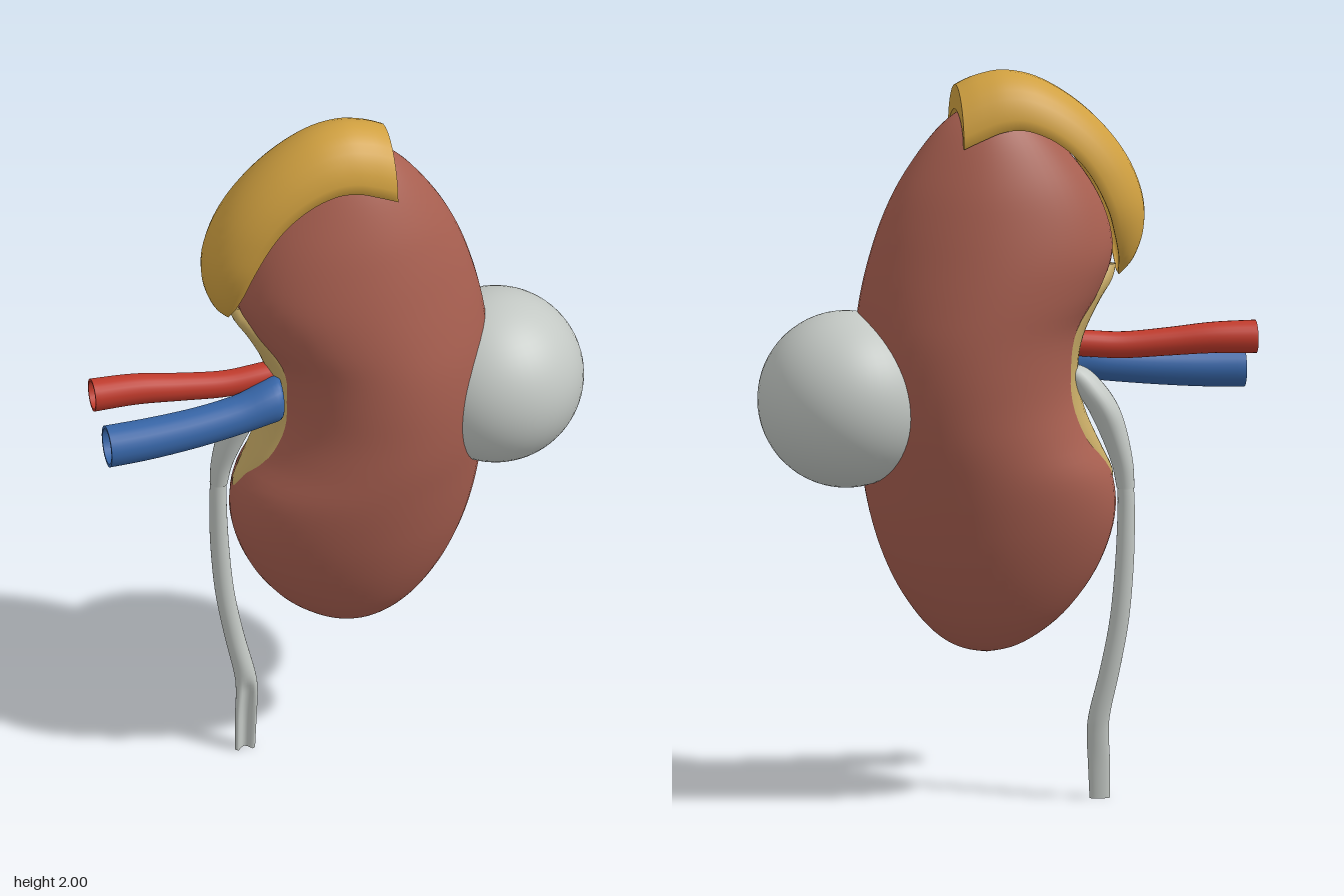
import * as THREE from 'three';

const mat = (name, color, side = THREE.FrontSide) => {
  const m = new THREE.MeshStandardMaterial({ color, side });
  m.name = name;
  return m;
};

// Joins closed rings of points into one smooth skin.
function loft(rings) {
  const n = rings[0].length, pos = [], index = [];
  for (const ring of rings) for (const p of ring) pos.push(...p);
  for (let i = 0; i < rings.length - 1; i++) {
    for (let j = 0; j < n; j++) {
      const k = (j + 1) % n, a = i * n, b = a + n;
      index.push(a + j, a + k, b + k, a + j, b + k, b + j);
    }
  }
  const g = new THREE.BufferGeometry();
  g.setAttribute('position', new THREE.Float32BufferAttribute(pos, 3));
  g.setIndex(index);
  g.computeVertexNormals();
  return g;
}

// Smoothly resamples a table of stations, column by column.
function resample(rows, steps) {
  const cols = rows[0].map((_, c) =>
    new THREE.SplineCurve(rows.map((r) => new THREE.Vector2(r[c], 0))));
  return Array.from({ length: steps + 1 }, (_, i) => cols.map((c) => c.getPoint(i / steps).x));
}

const loop = (n, fn) => Array.from({ length: n }, (_, j) => {
  const a = (j / n) * Math.PI * 2;
  return fn(Math.cos(a), Math.sin(a));
});

export function createModel() {
  const group = new THREE.Group();
  const flesh = mat('kidney red brown', 0xa85f50);
  const gold = mat('gland gold', 0xd0a040, THREE.DoubleSide);
  const fat = mat('sinus tan', 0xc8ab66, THREE.DoubleSide);
  const red = mat('artery red', 0xc03a2b, THREE.DoubleSide);
  const blue = mat('vein blue', 0x3766a8, THREE.DoubleSide);
  const grey = mat('pale grey', 0xc3c8c4, THREE.DoubleSide);
  const add = (name, geometry, material) => {
    const mesh = new THREE.Mesh(geometry, material);
    mesh.name = name;
    group.add(mesh);
    return mesh;
  };

  // Kidney body: height, inner edge x, outer edge x, half depth
  const body = [
    [0.405, 0.05, 0.05, 0], [0.418, -0.02, 0.115, 0.033], [0.45, -0.085, 0.175, 0.065],
    [0.51, -0.16, 0.235, 0.108], [0.6, -0.23, 0.295, 0.153], [0.7, -0.277, 0.34, 0.19],
    [0.8, -0.297, 0.37, 0.217], [0.9, -0.282, 0.389, 0.237], [1.0, -0.222, 0.402, 0.249],
    [1.1, -0.185, 0.411, 0.254], [1.2, -0.178, 0.414, 0.256], [1.3, -0.195, 0.41, 0.252],
    [1.4, -0.25, 0.397, 0.242], [1.5, -0.285, 0.374, 0.226], [1.6, -0.27, 0.342, 0.203],
    [1.7, -0.222, 0.296, 0.173], [1.8, -0.145, 0.23, 0.13], [1.87, -0.075, 0.167, 0.088],
    [1.915, -0.01, 0.095, 0.045], [1.93, 0.035, 0.035, 0],
  ];
  add('kidney', loft(resample(body, 76).map(([y, l, r, h]) => {
    const cx = l + (r - l) * 0.5, cz = (1.2 - y) * 0.025;
    return loop(48, (c, s) => [
      cx + c * (r - l) / 2, y, cz - Math.max(h, 0) * s * (c > 0 ? 1 - 0.12 * c * c : 1)]);
  })), flesh);

  // Fatty lining of the notch: height, edge x, half depth
  const lining = [
    [0.86, -0.285, 0.02], [0.9, -0.288, 0.05], [0.98, -0.25, 0.085], [1.08, -0.208, 0.1],
    [1.18, -0.193, 0.1], [1.27, -0.207, 0.1], [1.36, -0.25, 0.08], [1.42, -0.288, 0.05],
    [1.46, -0.298, 0.02],
  ];
  add('hilumLining', loft(resample(lining, 32).map(([y, x, h]) =>
    loop(24, (c, s) => [x + 0.07 * (1 + c), y, -h * s]))), fat);

  // Gland cap: crest x, y, lower rim x, y, half width
  const cap = [
    [-0.305, 1.43, -0.3, 1.44, 0.015], [-0.343, 1.475, -0.295, 1.49, 0.06],
    [-0.37, 1.55, -0.278, 1.56, 0.095], [-0.37, 1.64, -0.257, 1.63, 0.115],
    [-0.335, 1.74, -0.215, 1.715, 0.123], [-0.27, 1.835, -0.165, 1.78, 0.125],
    [-0.18, 1.92, -0.1, 1.83, 0.125], [-0.08, 1.98, -0.03, 1.857, 0.125],
    [0.01, 2.0, 0.03, 1.855, 0.125], [0.085, 1.988, 0.085, 1.835, 0.125],
    [0.138, 1.965, 0.138, 1.812, 0.125],
  ];
  const half = 16;
  const capRings = resample(cap, 50).map(([ox, oy, ex, ey, w]) => {
    const arch = (t, start) => {
      const k = start + (1 - start) * (1 - Math.cos(t));
      return [ox + (ex - ox) * k, oy + (ey - oy) * k,
        -0.003 + w * (1 - start * 0.25) * Math.sin(t)];
    };
    const angles = Array.from({ length: half }, (_, j) => (j / (half - 1) - 0.5) * Math.PI);
    return [...angles.map((t) => arch(t, 0)), ...angles.reverse().map((t) => arch(t, 0.45))];
  });
  // Close both ends between the outer and inner arches
  const closing = (ring) => ring.map((p, j) =>
    p.map((v, c) => (v + ring[ring.length - 1 - j][c]) / 2));
  const first = capRings[0], last = capRings[capRings.length - 1];
  add('adrenalGland', loft([closing(first), first, ...capRings, last, closing(last)]), gold);

  // Hollow vessels running sideways: x, y, z, radius
  const vessel = (rows) => {
    const outer = resample(rows, 24);
    const ring = ([x, y, z, r]) => loop(24, (c, s) => [x, y + r * c, z + r * s]);
    const [x, y, z, r] = outer[0];
    const lip = ring([x, y, z, r * 0.85]);
    const bore = ring([x + 0.15, y, z, r * 0.8]);
    return loft([bore, lip, lip, ring(outer[0]), ...outer.map(ring)]);
  };
  add('artery', vessel([
    [-0.68, 1.243, 0.008, 0.045], [-0.56, 1.244, 0.01, 0.042], [-0.44, 1.236, 0.018, 0.038],
    [-0.32, 1.23, 0.025, 0.036], [-0.22, 1.238, 0.025, 0.036], [-0.1, 1.25, 0.02, 0.034],
  ]), red);
  add('vein', vessel([
    [-0.665, 1.143, 0.112, 0.057], [-0.55, 1.147, 0.11, 0.056], [-0.42, 1.157, 0.105, 0.054],
    [-0.3, 1.172, 0.095, 0.054], [-0.225, 1.19, 0.085, 0.06], [-0.185, 1.197, 0.075, 0.062],
    [-0.175, 1.2, 0.07, 0.045], [-0.17, 1.2, 0.07, 0.0],
  ]), blue);

  // Upright ducts: height, x, z, half width, half depth, front groove depth
  const duct = (rows) => loft(resample(rows, 40).map(([y, x, z, w, d, g]) =>
    loop(24, (c, s) => [x + w * c, y,
      z - d * s + (s < 0 ? g * d * s * Math.max(0, 1 - 2.2 * c * c) : 0)])));
  add('ureter', duct([
    [0, -0.252, -0.012, 0.028, 0.013, 1.7], [0.1, -0.249, -0.015, 0.03, 0.016, 1.6],
    [0.18, -0.245, -0.02, 0.03, 0.02, 0.8], [0.24, -0.25, -0.025, 0.029, 0.023, 0],
    [0.36, -0.276, -0.036, 0.027, 0.025, 0], [0.5, -0.3, -0.045, 0.026, 0.025, 0],
    [0.66, -0.313, -0.05, 0.025, 0.025, 0], [0.8, -0.317, -0.05, 0.023, 0.024, 0],
    [0.865, -0.315, -0.05, 0.022, 0.023, 0],
  ]), grey);
  add('renalPelvis', duct([
    [0.855, -0.315, -0.05, 0.024, 0.026, 0], [0.92, -0.307, -0.048, 0.029, 0.034, 0],
    [1.0, -0.285, -0.042, 0.037, 0.046, 0], [1.07, -0.258, -0.036, 0.043, 0.055, 0],
    [1.13, -0.22, -0.03, 0.045, 0.052, 0], [1.18, -0.18, -0.025, 0.035, 0.035, 0],
    [1.2, -0.15, -0.02, 0, 0, 0],
  ]), grey);

  // Round cyst on the outer edge
  add('cyst', new THREE.SphereGeometry(0.238, 48, 32), grey).position.set(0.437, 1.115, 0);

  return group;
}
